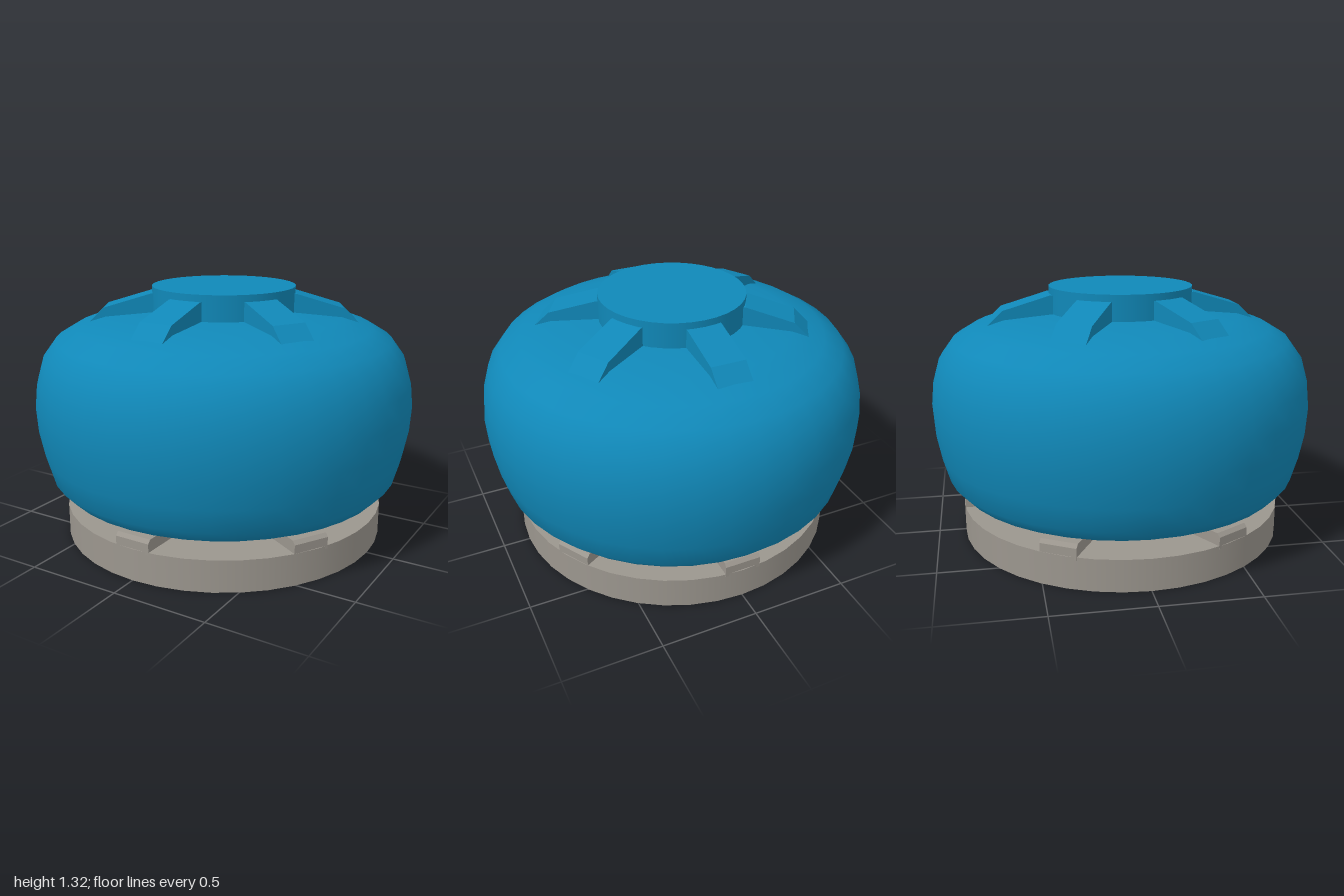
import * as THREE from 'three';

const V = (r, y) => new THREE.Vector2(r, y);

export function createModel() {
  const blue = new THREE.MeshStandardMaterial({ color: 0x1088b8 });
  blue.name = 'blue paint';
  const grey = new THREE.MeshStandardMaterial({ color: 0x9b968e });
  grey.name = 'warm grey';

  const model = new THREE.Group();
  model.name = 'roundTank';
  const add = (name, geometry, material, parent = model) => {
    const mesh = new THREE.Mesh(geometry, material);
    mesh.name = name;
    parent.add(mesh);
    return mesh;
  };

  // Squat tank shell
  add('tankBody', new THREE.LatheGeometry([
    V(0, 0.166), V(0.5, 0.175), V(0.7, 0.205), V(0.8, 0.235), V(0.87, 0.27),
    V(0.93, 0.335), V(0.965, 0.46), V(0.99, 0.59), V(0.998, 0.72), V(0.985, 0.84),
    V(0.95, 0.96), V(0.88, 1.055), V(0.78, 1.115), V(0.62, 1.165), V(0.36, 1.19), V(0, 1.2),
  ], 40), blue);

  // Flat-topped collar
  const collar = add('collar', new THREE.CylinderGeometry(0.375, 0.375, 0.16, 36), blue);
  collar.position.y = 1.24;

  // Base disc
  const base = add('baseDisc', new THREE.CylinderGeometry(0.858, 0.858, 0.166, 40), grey);
  base.position.y = 0.083;

  // Side outline (radius, height) extruded to a width, running outward along +z
  const radialBlock = (points, width) => {
    const g = new THREE.ExtrudeGeometry(new THREE.Shape(points), { depth: width, bevelEnabled: false });
    return g.translate(0, 0, -width / 2).rotateY(-Math.PI / 2);
  };
  const ribGeometry = radialBlock(
    [V(0.3, 1.1), V(0.7, 1.1), V(0.705, 1.13), V(0.62, 1.212), V(0.375, 1.285), V(0.3, 1.285)], 0.18);
  const padGeometry = radialBlock(
    [V(0.58, 0.15), V(0.852, 0.15), V(0.852, 0.21), V(0.835, 0.228), V(0.58, 0.228)], 0.19);

  // Six sloping ribs around the collar and six support pads on the base
  for (let i = 0; i < 6; i++) {
    const spoke = new THREE.Group();
    spoke.name = 'spoke' + (i + 1);
    spoke.rotation.y = i * Math.PI / 3;
    add('collarRib', ribGeometry, blue, spoke);
    add('supportPad', padGeometry, grey, spoke);
    model.add(spoke);
  }
  return model;
}
